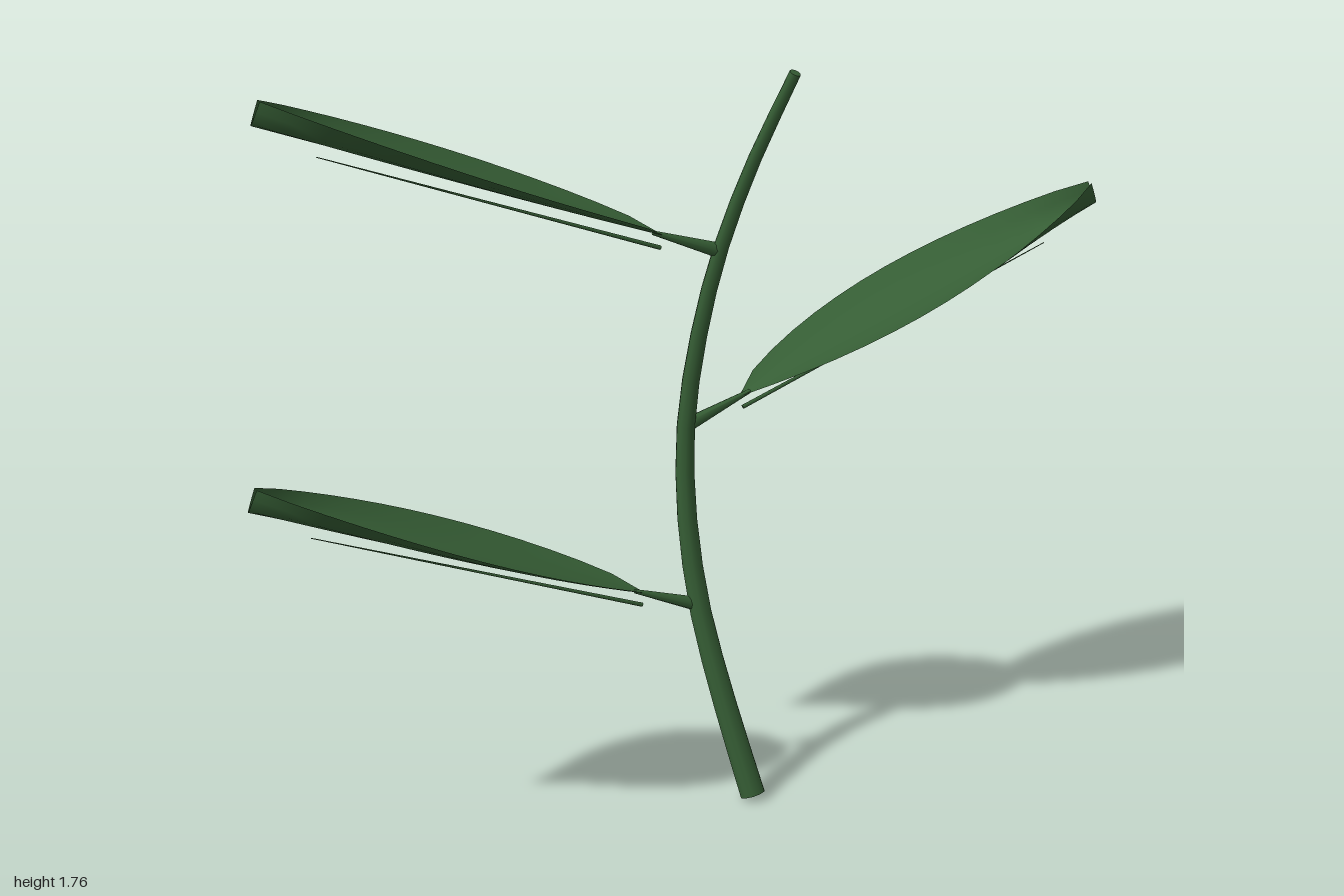
import * as THREE from 'three';

const green = new THREE.MeshStandardMaterial({ color: 0x365e35, side: THREE.DoubleSide });
green.name = 'leaf green';

function mesh(name, geometry) {
  const m = new THREE.Mesh(geometry, green);
  m.name = name;
  return m;
}

// Tapered rod lying along local x from x0 to x1
function rod(name, x0, x1, r0, r1, y = 0) {
  const g = new THREE.CylinderGeometry(r1, r0, x1 - x0, 8);
  g.rotateZ(-Math.PI / 2).translate((x0 + x1) / 2, y, 0);
  return mesh(name, g);
}

// Curved stem, thinner toward the top, capped at both ends
function createStem() {
  const curve = new THREE.CatmullRomCurve3([
    [0.128, 0.01, 0.122], [0.065, 0.23, 0.072], [0.012, 0.45, 0.025],
    [-0.015, 0.67, -0.005], [-0.016, 0.88, -0.018], [0.012, 1.1, -0.005],
    [0.058, 1.31, 0.022], [0.125, 1.52, 0.064], [0.21, 1.735, 0.12],
  ].map((p) => new THREE.Vector3(...p)));
  const radius = (t) => 0.03 - 0.017 * t;
  const segments = 16, sides = 10;
  const g = new THREE.TubeGeometry(curve, segments, 1, sides);
  const pos = g.attributes.position, v = new THREE.Vector3();
  for (let i = 0; i < pos.count; i++) {
    const t = Math.floor(i / (sides + 1)) / segments;
    const c = curve.getPointAt(t);
    v.fromBufferAttribute(pos, i).sub(c).multiplyScalar(radius(t)).add(c);
    pos.setXYZ(i, v.x, v.y, v.z);
  }
  const stem = new THREE.Group();
  stem.name = 'stem';
  stem.add(mesh('stemTube', g));
  for (const t of [0, 1]) {
    const cap = mesh(t ? 'stemTopCap' : 'stemBottomCap', new THREE.CircleGeometry(radius(t), sides));
    const out = curve.getTangentAt(t).multiplyScalar(t ? 1 : -1);
    cap.position.copy(curve.getPointAt(t));
    cap.quaternion.setFromUnitVectors(new THREE.Vector3(0, 0, 1), out);
    stem.add(cap);
  }
  return stem;
}

const REACH = 1.1325;          // stem to leaf tip
const START = 0.12 * REACH;    // where the blade begins

// Cupped blade: the margins rise along its length and meet at the tip
function bladeGeometry() {
  const g = new THREE.PlaneGeometry(1, 2, 14, 8);
  const pos = g.attributes.position;
  for (let i = 0; i < pos.count; i++) {
    const t = Math.min(1, Math.max(0, pos.getX(i) + 0.5)), v = pos.getY(i);
    const s = Math.max(0, Math.sin(Math.PI * Math.pow(t, 0.9)));
    const half = 0.148 * Math.pow(s, 0.8) + 0.008 * t;
    const cup = 0.055 * Math.sqrt(t);
    pos.setXYZ(i, START + t * (REACH - START), cup * v * v, -half * v);
  }
  g.computeVertexNormals();
  return g;
}

function createLeaf(name, position, turn) {
  const leaf = new THREE.Group();
  leaf.name = name;
  leaf.add(
    rod('petiole', 0, START + 0.03, 0.017, 0.005),
    mesh('blade', bladeGeometry()),
    rod('midrib', START, 0.86 * REACH, 0.005, 0.001, -0.028),
  );
  leaf.position.set(...position);
  leaf.rotation.set(0, turn, Math.atan2(0.4, 1.0595), 'YZX');
  return leaf;
}

export function createModel() {
  const plant = new THREE.Group();
  plant.name = 'leafyTwig';
  const turn = Math.atan2(0.35, 1);
  plant.add(
    createStem(),
    createLeaf('lowerLeaf', [0.005, 0.455, 0.022], turn + Math.PI),
    createLeaf('middleLeaf', [-0.01, 0.883, -0.02], turn),
    createLeaf('upperLeaf', [0.05, 1.31, 0.02], turn + Math.PI),
  );
  return plant;
}
